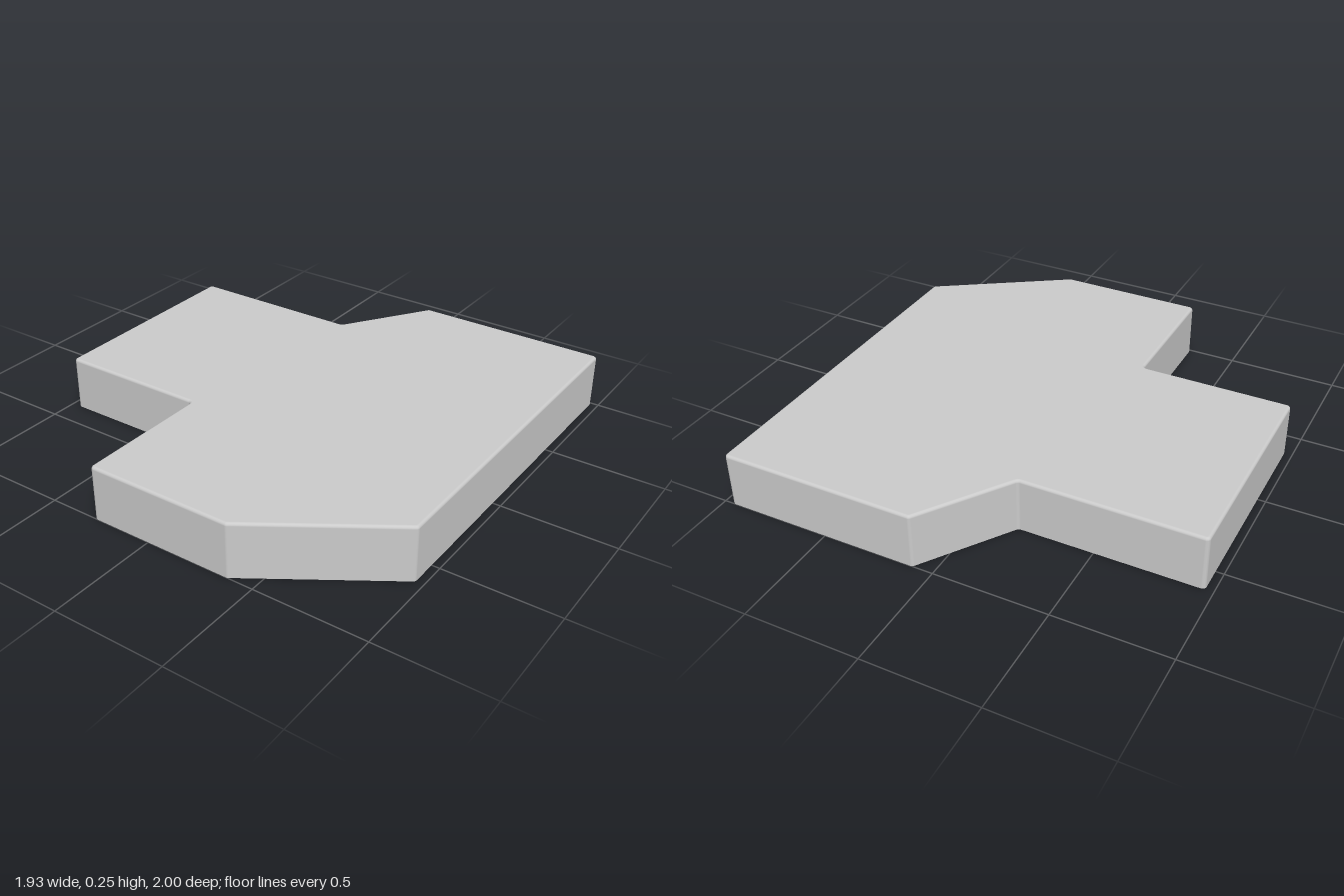
import * as THREE from 'three';

const HEIGHT = 0.245;
const EDGE = 0.013; // rounding of the top edge
const CORNER = 0.018; // rounding of the upright corners
const STEPS = 4;

// Plan outline as (x, z), clockwise seen from above
const PLAN = [
  [-0.965, -0.615], [-0.17, -0.615], [0.09, -1], [0.965, -1], [0.965, 0.62],
  [0.385, 1], [-0.28, 1], [-0.28, 0.38], [-0.965, 0.38],
].map(([x, z]) => new THREE.Vector2(x, z));

// Rounded outline: each entry has an arc centre, outward normal and signed radius
function roundedOutline() {
  const outline = [];
  PLAN.forEach((v, i) => {
    const before = PLAN[(i + PLAN.length - 1) % PLAN.length];
    const after = PLAN[(i + 1) % PLAN.length];
    const d1 = v.clone().sub(before).normalize();
    const d2 = after.clone().sub(v).normalize();
    const n1 = new THREE.Vector2(d1.y, -d1.x);
    const n2 = new THREE.Vector2(d2.y, -d2.x);
    const radius = d1.cross(d2) > 0 ? CORNER : -CORNER;
    const centre = v.clone().addScaledVector(n1.clone().add(n2), -radius / (1 + n1.dot(n2)));
    for (let s = 0; s <= STEPS; s++) {
      outline.push({ centre, radius, normal: n1.clone().lerp(n2, s / STEPS).normalize() });
    }
  });
  return outline;
}

// Hollow slab: upright walls, a rounded rim and a flat top, open underneath
function slabGeometry() {
  const outline = roundedOutline();
  const count = outline.length;
  const rings = [{ y: 0, inset: 0, tilt: 0 }];
  for (let s = 0; s <= STEPS; s++) {
    const tilt = (s / STEPS) * Math.PI / 2;
    rings.push({ y: HEIGHT - EDGE * (1 - Math.sin(tilt)), inset: EDGE * (1 - Math.cos(tilt)), tilt });
  }

  const positions = [], normals = [], index = [];
  let rim = [];
  rings.forEach(({ y, inset, tilt }, r) => {
    rim = outline.map(({ centre, radius, normal }) => centre.clone().addScaledVector(normal, radius - inset));
    rim.forEach((p, j) => {
      const n = outline[j].normal;
      positions.push(p.x, y, p.y);
      normals.push(n.x * Math.cos(tilt), Math.sin(tilt), n.y * Math.cos(tilt));
      if (r === 0) return;
      const next = (j + 1) % count;
      const low = (r - 1) * count, high = r * count;
      index.push(low + j, high + j, low + next, low + next, high + j, high + next);
    });
  });

  // Flat top shares the innermost ring
  const top = (rings.length - 1) * count;
  const flat = rim.map((p) => new THREE.Vector2(p.x, -p.y));
  for (const face of THREE.ShapeUtils.triangulateShape(flat, [])) {
    index.push(...face.map((k) => top + k));
  }

  const geometry = new THREE.BufferGeometry();
  geometry.setAttribute('position', new THREE.Float32BufferAttribute(positions, 3));
  geometry.setAttribute('normal', new THREE.Float32BufferAttribute(normals, 3));
  geometry.setIndex(index);
  return geometry;
}

export function createModel() {
  const group = new THREE.Group();
  const material = new THREE.MeshStandardMaterial({ color: 0xcccccc, side: THREE.DoubleSide });
  const slab = new THREE.Mesh(slabGeometry(), material);
  slab.name = 'hollowSlab';
  group.add(slab);
  return group;
}
